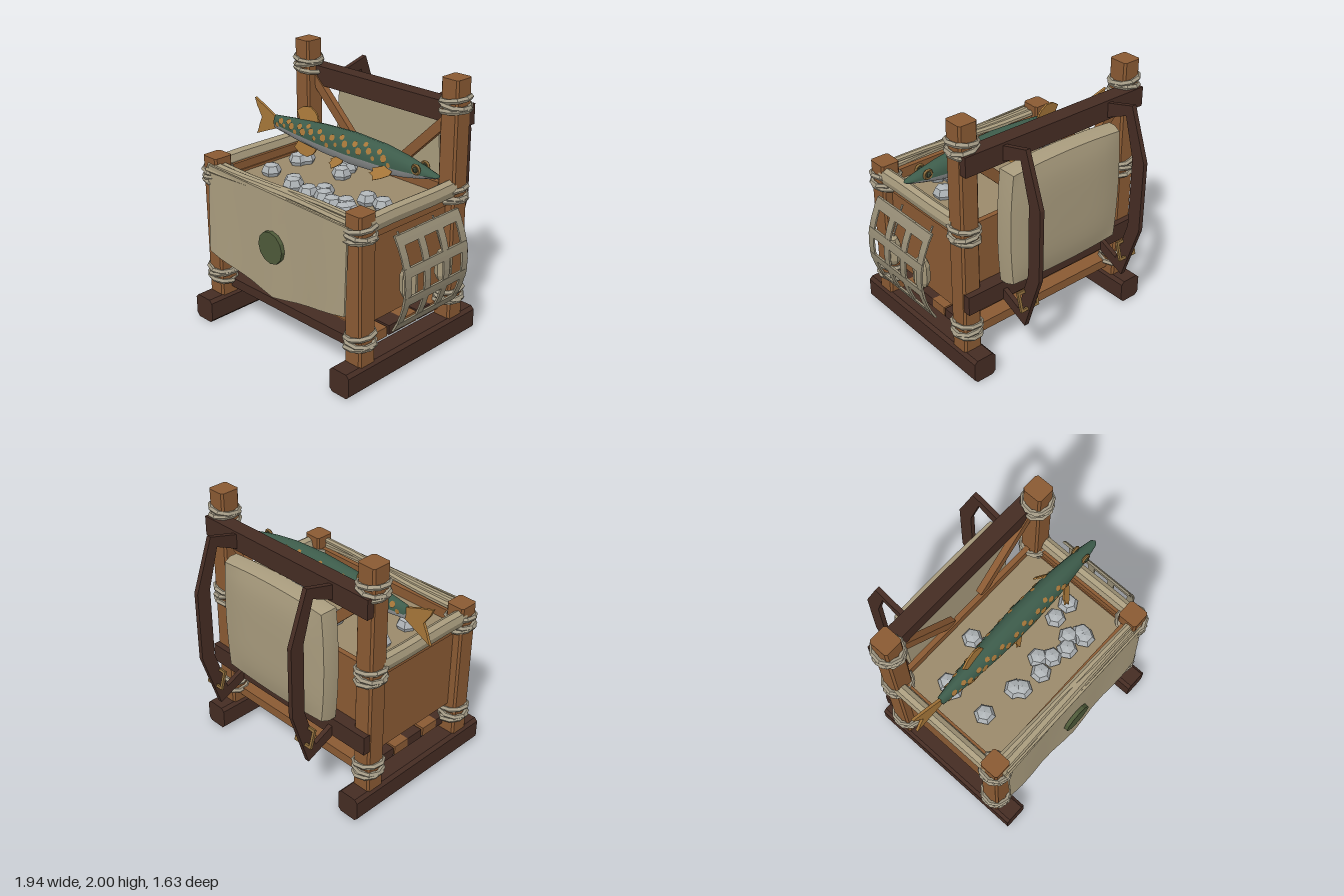
import * as THREE from 'three';

const WOOD = 0x8a5a33, DARK = 0x452c23, CLOTH = 0xa89b7d, ROPE = 0xa49b86, NET = 0x958c75;
const GREEN = 0x3d5c4b, BELLY = 0x9c9f9f, FIN = 0xa8783a, BRASS = 0x8a6a3a, ICE = 0xaeb3b6;
const CX = -0.04; // centre line of the frame

const mat = (color, flatShading = true) => new THREE.MeshStandardMaterial({ color, flatShading });

export function createModel() {
  const root = new THREE.Group();
  const add = (name, geo, color, pos = [0, 0, 0], rot = [0, 0, 0], faceted = true) => {
    const m = new THREE.Mesh(geo, mat(color, faceted));
    m.name = name;
    m.position.set(...pos);
    m.rotation.set(...rot);
    root.add(m);
    return m;
  };
  const box = (name, color, x0, x1, y0, y1, z0, z1) =>
    add(name, new THREE.BoxGeometry(x1 - x0, y1 - y0, z1 - z0), color, [(x0 + x1) / 2, (y0 + y1) / 2, (z0 + z1) / 2]);
  // move every vertex by a rule
  const warp = (geo, fn) => {
    const p = geo.attributes.position, v = new THREE.Vector3();
    for (let i = 0; i < p.count; i++) { v.fromBufferAttribute(p, i); fn(v); p.setXYZ(i, v.x, v.y, v.z); }
    geo.computeVertexNormals();
    return geo;
  };
  const flat = (pts, depth) => new THREE.ExtrudeGeometry(new THREE.Shape(pts.map(p => new THREE.Vector2(...p))), { depth, bevelEnabled: false })
    .translate(0, 0, -depth / 2);
  // beam along z with cut long edges, centred
  const beam = (w, h, len, c) => {
    const a = w / 2, b = h / 2;
    return flat([[-a + c, -b], [a - c, -b], [a, -b + c], [a, b - c], [a - c, b], [-a + c, b], [-a, b - c], [-a, -b + c]], len);
  };

  // runners, posts and rope lashings
  const lash = (x, y, z, k) => {
    for (let i = 0; i < 3; i++) add('ropeLashing', new THREE.TorusGeometry(0.104, 0.02, 5, 9), ROPE,
      [x, y + (i - 1) * 0.043, z], [Math.PI / 2 + 0.06 * (i - 1), 0.14 * k * (i === 1 ? -1 : 1), i * 0.4]);
  };
  for (const s of [-1, 1]) {
    const x = CX + s * 0.73;
    add('runner', beam(0.185, 0.19, 1.335, 0.025), DARK, [x, 0.095, 0.15]);
    for (const [z, top] of [[0.615, 1.3], [-0.315, 2]]) {
      add('post', beam(0.15, 0.155, top - 0.17, 0.015), WOOD, [x, (top + 0.17) / 2, z], [-Math.PI / 2, 0, 0]);
      for (const y of top > 1.5 ? [0.355, 1.15, 1.81] : [0.355, 1.15]) lash(x, y, z, s);
    }
    // diagonal brace
    add('brace', new THREE.BoxGeometry(0.075, 0.74, 0.05), WOOD, [CX + s * 0.425, 1.455, -0.335], [0, 0, -s * 0.8]);
  }

  // under shelf slats
  for (const [z0, z1, c] of [[0.46, 0.6, DARK], [0.31, 0.46, WOOD], [0.14, 0.29, DARK], [0, 0.14, WOOD], [-0.15, -0.015, DARK], [-0.32, -0.15, WOOD]])
    box('shelfSlat', c, -0.74, 0.66, 0.235, 0.31, z0, z1);

  // crate
  for (const z of [0.6, -0.32]) box('cratePanel', WOOD, -0.72, 0.64, 0.445, 1.2, z - 0.02, z + 0.02);
  for (const s of [-1, 1]) {
    const x = CX + s * 0.715;
    box('crateSide', WOOD, x - 0.02, x + 0.02, 0.445, 1.2, -0.3, 0.6);
    box('crateRail', WOOD, x - 0.03, x + 0.03, 1.08, 1.14, -0.28, 0.58);
  }
  box('crateFloor', WOOD, -0.72, 0.64, 0.445, 0.48, -0.31, 0.59);
  box('packingBed', 0x9b8a6b, -0.735, 0.655, 1.08, 1.12, -0.305, 0.58);

  // back beams, shoulder frames with buckles, and pad
  for (const y of [1.725, 0.625]) box('backBeam', DARK, CX - 0.8, CX + 0.8, y - 0.075, y + 0.075, -0.44, -0.32);
  const frame = [[-0.4, 1.77], [-0.667, 1.845], [-0.81, 1.45], [-0.81, 0.9], [-0.667, 0.445], [-0.4, 0.56],
    [-0.4, 0.65], [-0.6, 0.56], [-0.7, 0.9], [-0.7, 1.45], [-0.615, 1.75], [-0.4, 1.65]];
  for (const x of [-0.513, 0.435]) {
    add('shoulderFrame', flat(frame.map(([z, y]) => [-z, y]), 0.036), DARK, [x, 0, 0], [0, Math.PI / 2, 0]);
    const buckle = new THREE.Group();
    buckle.name = 'buckle';
    for (const [w, h, px, py] of [[0.16, 0.02, 0, 0.065], [0.16, 0.02, 0, -0.065], [0.02, 0.15, 0.07, 0], [0.02, 0.15, -0.07, 0]]) {
      const b = new THREE.Mesh(new THREE.BoxGeometry(w, h, 0.02), mat(BRASS));
      b.position.set(px, py, 0);
      buckle.add(b);
    }
    buckle.position.set(x, 0.68, -0.678);
    buckle.rotation.x = 0.28;
    root.add(buckle);
  }
  add('backPad', warp(new THREE.BoxGeometry(1, 0.9, 0.12, 12, 12, 2), v => {
    const u = v.x / 0.5, w = v.y / 0.45, back = v.z < -0.01;
    const pinch = back ? 0.965 : 1;
    v.x *= (1 + 0.05 * (1 - w * w)) * pinch;
    v.y *= (1 + 0.05 * (1 - u * u)) * pinch;
    if (back) v.z -= 0.035 * (1 - u ** 4) * (1 - w ** 4);
  }), CLOTH, [CX, 1.155, -0.475], [0, 0, 0], false);

  // cloth rolled over the rim
  for (const x of [0.725, -0.805]) add('sideRoll', warp(new THREE.CylinderGeometry(0.07, 0.07, 0.86, 8, 4).rotateX(Math.PI / 2), v => {
    v.x *= 0.7;
    v.y += 0.003 * Math.sin(v.z * 9);
  }), CLOTH, [x, 1.21, 0.16]);
  [[1.225, 0.655, 0.045, 0.012], [1.24, 0.625, 0.035, -0.02], [1.205, 0.685, 0.032, 0.015]].forEach(([y, z, r, tilt]) =>
    add('frontRoll', warp(new THREE.CylinderGeometry(r, r * 0.75, 1.48, 7, 8).rotateZ(Math.PI / 2), v => {
      v.y = v.y * 0.75 + 0.008 * Math.sin(v.x * 5 + z * 40);
    }), CLOTH, [CX, y, z], [0, tilt, -tilt]));
  // front drape with pointed hem
  add('frontDrape', warp(new THREE.BoxGeometry(1.42, 1, 0.015, 12, 6, 1), v => {
    const t = 0.5 - v.y, u = Math.abs(v.x) / 0.71;
    v.y = 1.23 - 0.03 * v.x * (1 - t) - t * (0.785 - 0.125 * u);
    v.z += 0.71 + 0.028 * t + 0.008 * t * Math.cos(v.x * 11);
  }), CLOTH, [CX, 0, 0], [0, 0, 0], false);
  add('roundPatch', new THREE.CylinderGeometry(0.122, 0.122, 0.03, 12), 0x4e5a39, [CX, 0.84, 0.75], [Math.PI / 2, 0, 0]);

  // bowed net and floats on the side
  const bow = v => { v.x += 0.852 + 0.106 * (1 - ((v.y - 0.775) / 0.355) ** 2); };
  for (let i = 0; i < 4; i++) {
    add('netUpright', warp(new THREE.BoxGeometry(0.014, 0.71, 0.06, 1, 10, 1).translate(0, 0.775, 0.44 - 0.195 * i), bow), NET);
    add('netCross', warp(new THREE.BoxGeometry(0.018, 0.068, 0.645, 1, 2, 1).translate(0, 1.095 - 0.213 * i, 0.148), bow), NET);
  }
  for (const z of [0.325, -0.035]) {
    add('float', new THREE.CapsuleGeometry(0.062, 0.125, 2, 8), CLOTH, [0.863, 0.745, z]);
    add('floatCord', new THREE.CylinderGeometry(0.008, 0.008, 0.25, 5), ROPE, [0.8, 0.97, z], [0, 0, 0.4]);
  }

  // ice lumps
  [[-.535, -.05], [-.555, .01], [-.175, -.15], [-.12, -.02], [-.535, .3], [-.255, .33], [-.22, .37], [-.04, .39], [.03, .3],
    [.1, .37], [.22, .41], [.3, .355], [.37, .445], [.38, .41], [.345, .19], [.49, .185]].forEach(([x, z], i) =>
    add('iceLump', new THREE.SphereGeometry(0.078, 6, 4).scale(1, 0.85, 1), ICE, [x, 1.15, z], [0, Math.PI / 6 * (i % 2), 0]));

  // fish body: stations of x, half height, half width
  const FY = 1.435, FZ = 0.075;
  const st = [[-0.73, 0.002, 0.002], [-0.72, 0.055, 0.03], [-0.5, 0.08, 0.06], [-0.2, 0.108, 0.085], [0.1, 0.121, 0.094],
    [0.4, 0.108, 0.086], [0.6, 0.08, 0.066], [0.75, 0.046, 0.05], [0.87, 0.014, 0.027], [0.89, 0.002, 0.004]];
  const skin = (x, a, out = 0) => {
    let i = 0;
    while (i < st.length - 2 && x > st[i + 1][0]) i++;
    const k = (x - st[i][0]) / (st[i + 1][0] - st[i][0]), at = j => st[i][j] + (st[i + 1][j] - st[i][j]) * k;
    return new THREE.Vector3(x, FY + (at(1) + out) * Math.sin(a), FZ + (at(2) + out) * Math.cos(a));
  };
  const loft = (a0, a1, n) => {
    const pos = [], idx = [];
    st.forEach(([x]) => { for (let j = 0; j <= n; j++) pos.push(...skin(x, a0 + (a1 - a0) * j / n).toArray()); });
    for (let i = 0; i < st.length - 1; i++) for (let j = 0; j < n; j++) {
      const a = i * (n + 1) + j, b = a + n + 1;
      idx.push(a, b, a + 1, b, b + 1, a + 1);
    }
    const g = new THREE.BufferGeometry();
    g.setAttribute('position', new THREE.Float32BufferAttribute(pos, 3));
    g.setIndex(idx);
    g.computeVertexNormals();
    return g;
  };
  add('fishBack', loft(-0.2, Math.PI + 0.2, 8), GREEN, [0, 0, 0], [0, 0, 0], false);
  add('fishBelly', loft(Math.PI + 0.2, 2 * Math.PI - 0.2, 6), BELLY, [0, 0, 0], [0, 0, 0], false);

  // fish spots on both flanks, spread by the golden ratio
  for (let i = 0; i < 27; i++) for (const s of [-1, 1]) {
    const x = -0.67 + 1.17 * i / 26, a = -0.05 + 0.95 * ((i * 0.618) % 1), ang = s > 0 ? a : Math.PI - a;
    const p = skin(x, ang, 0.003);
    add('fishSpot', new THREE.CircleGeometry(0.016 + 0.014 * ((i * 0.382 + 0.3) % 1), 7), FIN, p.toArray())
      .lookAt(p.x, p.y + Math.sin(ang) * 0.8, p.z + Math.cos(ang));
  }

  // fins: tail, back, lower, and paired ones
  add('tailFin', flat([[0, 0.04], [-0.12, 0.09], [-0.26, 0.14], [-0.235, 0.08], [-0.22, 0.06], [-0.18, 0], [-0.215, -0.07],
    [-0.225, -0.1], [-0.25, -0.15], [-0.13, -0.1], [0, -0.045]], 0.02), FIN, [-0.71, 1.43, FZ], [0, -0.06, 0]);
  const median = [[0.11, 0.08], [0.09, 0.14], [0.07, 0.165], [0.02, 0.195], [-0.05, 0.185], [-0.11, 0.145], [-0.06, 0.06]];
  add('backFin', flat(median, 0.014), FIN, [-0.38, FY, FZ], [-0.12, 0.1, 0]);
  add('lowerFin', flat(median.map(([x, y]) => [x, -y * 0.95]).reverse(), 0.014), FIN, [-0.38, FY, FZ], [-0.12, 0.1, 0]);
  const fan = [[0.05, 0.015], [-0.02, 0.02], [-0.09, -0.02], [-0.08, -0.04], [-0.1, -0.06], [-0.07, -0.07], [-0.06, -0.1], [-0.01, -0.07], [0.04, -0.03]];
  for (const s of [-1, 1]) {
    add('chestFin', flat(fan, 0.012), FIN, [0.48, 1.4, FZ + s * 0.08], [-s * 0.55, s * 0.45, 0]);
    add('bellyFin', flat(fan.map(([x, y]) => [x * 0.7, y * 0.85]), 0.012), FIN, [0.01, 1.345, FZ + s * 0.055], [-s * 0.4, s * 0.3, 0]);
    const eye = [0.725, 1.46, FZ + s * 0.048];
    add('eyeRing', new THREE.TorusGeometry(0.03, 0.012, 5, 10), BRASS, eye);
    add('eye', new THREE.SphereGeometry(0.024, 8, 6), 0x3a4432, eye);
  }
  return root;
}
